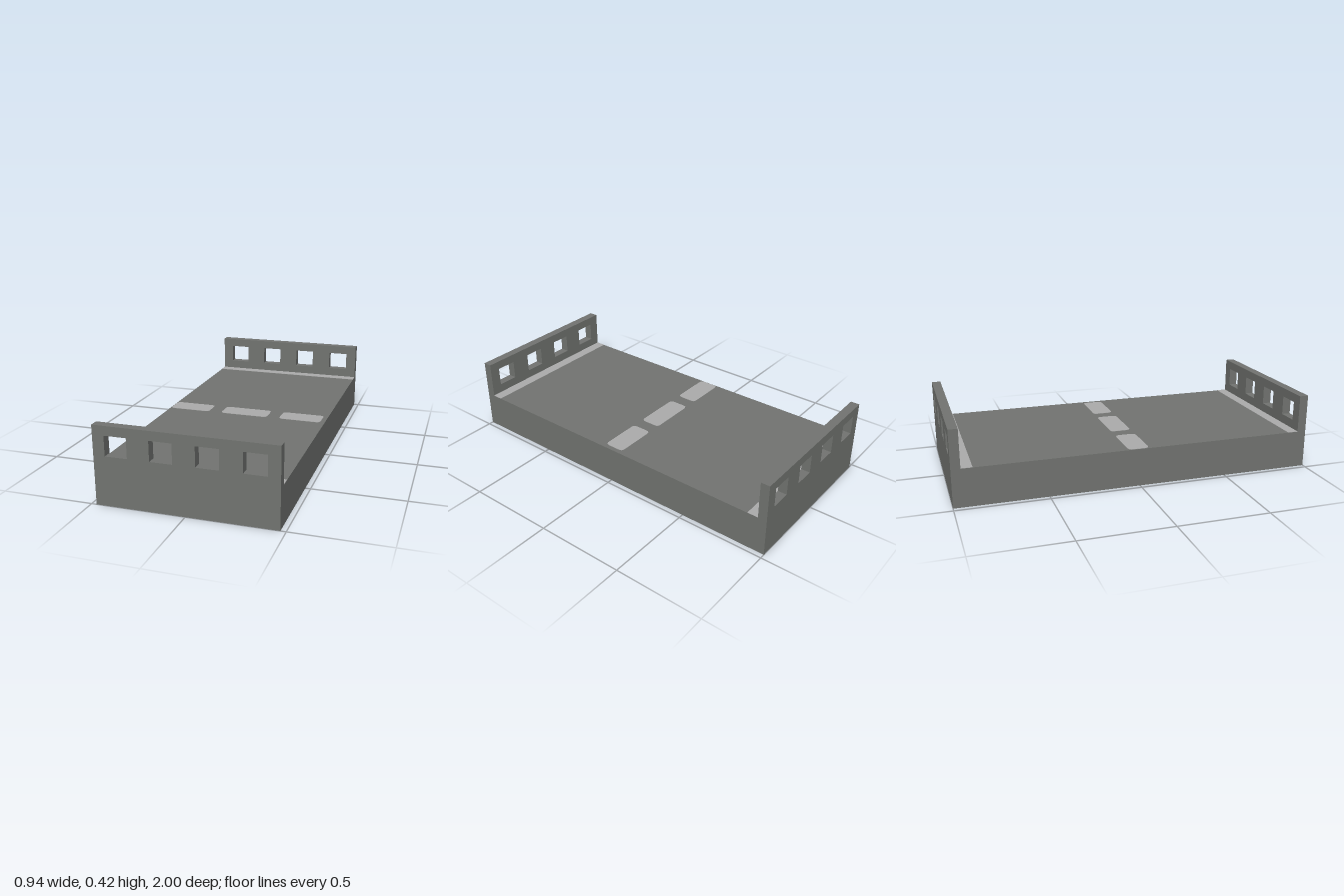
import * as THREE from 'three';

const HALF_W = 0.472, WALL_H = 0.42, DECK_H = 0.21, WALL_T = 0.05;
const PAINT_T = 0.002;

// Closed rectangle, optionally with rounded corners
function rect(PathType, x0, y0, x1, y1, r = 0) {
  const p = new PathType();
  if (r === 0) {
    p.moveTo(x0, y0).lineTo(x1, y0).lineTo(x1, y1).lineTo(x0, y1).closePath();
    return p;
  }
  p.moveTo(x0 + r, y0);
  p.lineTo(x1 - r, y0).quadraticCurveTo(x1, y0, x1, y0 + r);
  p.lineTo(x1, y1 - r).quadraticCurveTo(x1, y1, x1 - r, y1);
  p.lineTo(x0 + r, y1).quadraticCurveTo(x0, y1, x0, y1 - r);
  p.lineTo(x0, y0 + r).quadraticCurveTo(x0, y0, x0 + r, y0);
  return p;
}

export function createModel() {
  const model = new THREE.Group();
  model.name = 'bridgeDeck';

  const concrete = new THREE.MeshStandardMaterial({ color: 0x727471 });
  concrete.name = 'concreteGrey';
  const paint = new THREE.MeshStandardMaterial({ color: 0xacacac });
  paint.name = 'paintLightGrey';

  const add = (name, geometry, material) => {
    const mesh = new THREE.Mesh(geometry, material);
    mesh.name = name;
    model.add(mesh);
    return mesh;
  };

  // Solid deck between the walls
  add('deck', new THREE.BoxGeometry(2 * HALF_W, DECK_H, 2 - 2 * WALL_T), concrete)
    .position.y = DECK_H / 2;

  // Parapet walls with four square openings each
  const wallShape = rect(THREE.Shape, -HALF_W, 0, HALF_W, WALL_H);
  for (const cx of [-0.351, -0.117, 0.117, 0.351]) {
    wallShape.holes.push(rect(THREE.Path, cx - 0.059, 0.263, cx + 0.059, 0.37));
  }
  const wallGeo = new THREE.ExtrudeGeometry(wallShape, { depth: WALL_T, bevelEnabled: false });
  add('frontParapet', wallGeo, concrete).position.z = 1 - WALL_T;
  add('backParapet', wallGeo, concrete).position.z = -1;

  // Painted edge lines along the foot of each wall
  const lineGeo = new THREE.BoxGeometry(2 * HALF_W, PAINT_T, 0.06);
  for (const [name, side] of [['frontEdgeLine', 1], ['backEdgeLine', -1]]) {
    add(name, lineGeo, paint).position.set(0, DECK_H + PAINT_T / 2, side * 0.92);
  }

  // Dashed centre line
  for (const [x0, x1] of [[-0.468, -0.225], [-0.15, 0.13], [0.203, 0.446]]) {
    const dash = new THREE.ExtrudeGeometry(rect(THREE.Shape, x0, -0.052, x1, 0.065, 0.025), {
      depth: PAINT_T, bevelEnabled: false, curveSegments: 4,
    });
    dash.rotateX(-Math.PI / 2);
    add('centreDash', dash, paint).position.y = DECK_H;
  }

  return model;
}
